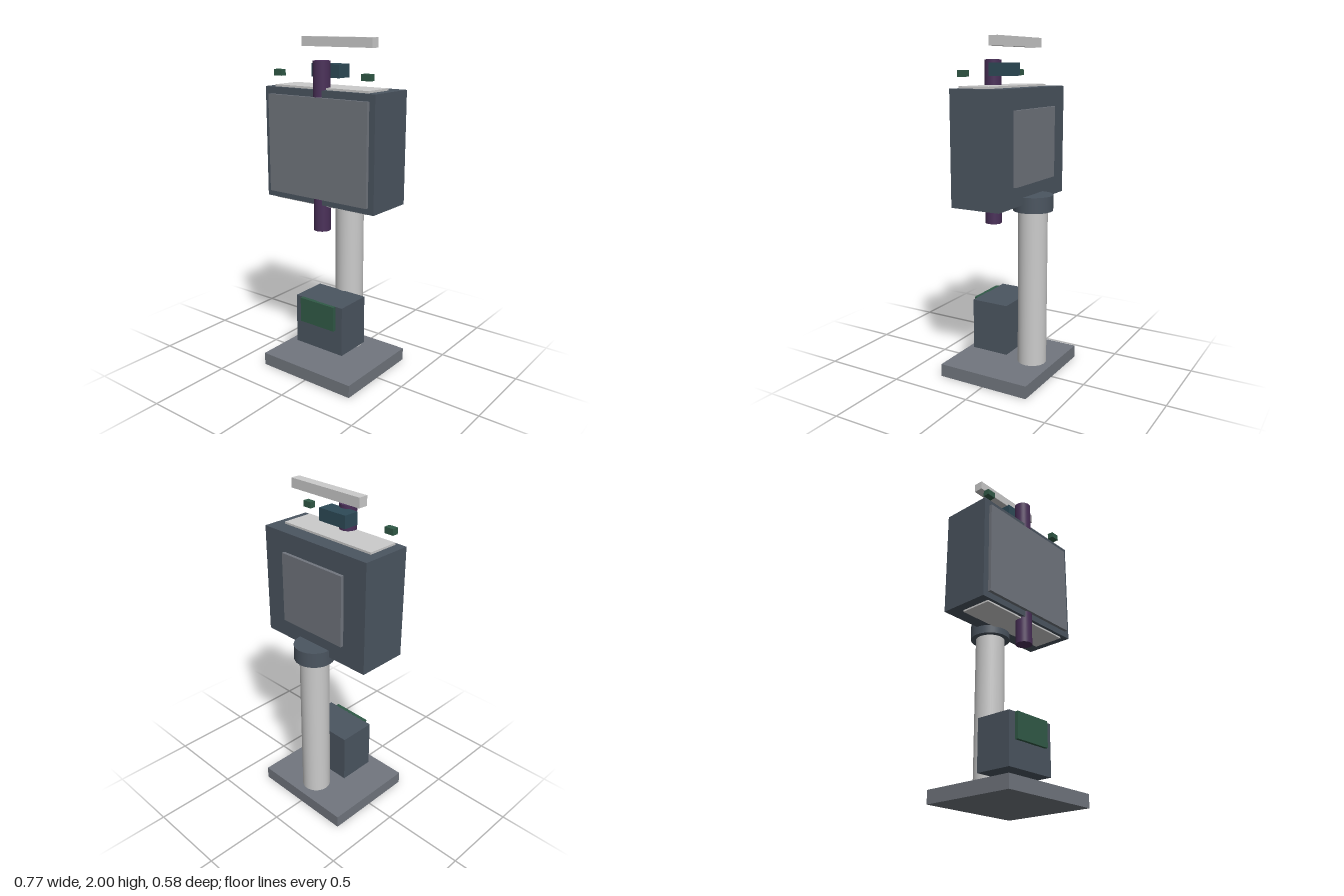
import * as THREE from 'three';

const paint = (color) => new THREE.MeshStandardMaterial({ color });

export function createModel() {
  const model = new THREE.Group();
  const light = paint(0xcccccc);
  const mid = paint(0x71767e);
  const dark = paint(0x4b5560);
  const green = paint(0x315a47);
  const teal = paint(0x2e4b58);
  const purple = paint(0x4a3059);

  const add = (name, geometry, material, x, y, z) => {
    const mesh = new THREE.Mesh(geometry, material);
    mesh.name = name;
    mesh.position.set(x, y, z);
    model.add(mesh);
  };
  // Box given by its limits on each axis
  const box = (name, material, [x0, x1], [y0, y1], [z0, z1]) =>
    add(name, new THREE.BoxGeometry(x1 - x0, y1 - y0, z1 - z0), material,
      (x0 + x1) / 2, (y0 + y1) / 2, (z0 + z1) / 2);
  // Upright cylinder between two heights
  const rod = (name, material, radius, y0, y1, z) =>
    add(name, new THREE.CylinderGeometry(radius, radius, y1 - y0, 40), material,
      0, (y0 + y1) / 2, z);

  // Stand
  box('base', mid, [-0.327, 0.327], [0, 0.077], [-0.29, 0.29]);
  rod('pole', light, 0.087, 0.077, 1.06, -0.154);
  rod('collar', dark, 0.118, 1.018, 1.11, -0.154);

  // Control box on the pole
  box('controlBox', dark, [-0.173, 0.173], [0.16, 0.465], [-0.075, 0.154]);
  box('controlPanel', green, [-0.125, 0.125], [0.312, 0.465], [0.15, 0.174]);

  // Cabinet with its inset panels
  box('cabinet', dark, [-0.385, 0.385], [1.068, 1.72], [-0.154, 0.154]);
  box('screen', mid, [-0.348, 0.348], [1.105, 1.68], [0.15, 0.174]);
  box('rearPanel', mid, [-0.23, 0.23], [1.185, 1.605], [-0.174, -0.15]);
  box('topVent', light, [-0.327, 0.327], [1.71, 1.732], [-0.059, 0.134]);
  box('bottomVent', light, [-0.327, 0.327], [1.058, 1.08], [-0.059, 0.134]);

  // Rod passing through the cabinet behind the screen
  rod('verticalRod', purple, 0.049, 0.91, 1.876, 0.115);

  // Sensors and light bar above the cabinet
  box('cameraBox', teal, [-0.097, 0.097], [1.783, 1.857], [-0.011, 0.085]);
  for (const side of [-1, 1]) {
    add(side > 0 ? 'leftSensor' : 'rightSensor',
      new THREE.BoxGeometry(0.058, 0.036, 0.038), green, side * 0.309, 1.8, 0.115);
  }
  box('lightBar', light, [-0.25, 0.25], [1.945, 2], [-0.068, -0.011]);

  return model;
}
